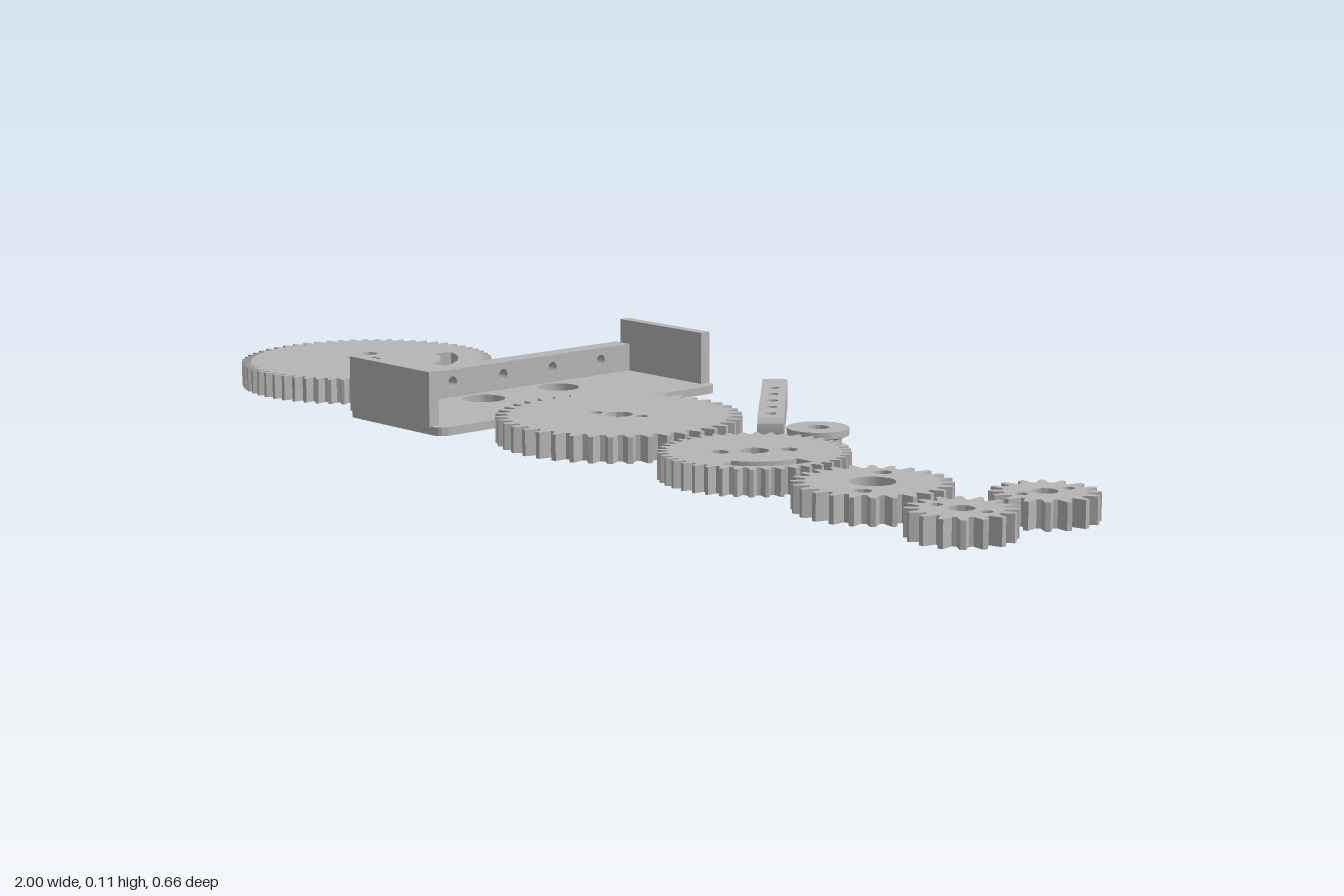
import * as THREE from 'three';
import { toCreasedNormals } from 'three/addons/utils/BufferGeometryUtils.js';

const grey = new THREE.MeshStandardMaterial({ color: 0xb6b6b6 });
grey.name = 'grey metal';

function circle(x, y, r) {
  return new THREE.Path().absarc(x, y, r, 0, Math.PI * 2, true);
}

// Curved slot between two radii and two angles in degrees
function arcSlot(r0, r1, a0, a1) {
  const a = THREE.MathUtils.degToRad(a0), b = THREE.MathUtils.degToRad(a1);
  const p = new THREE.Path();
  p.absarc(0, 0, r1, a, b, false);
  p.absarc(0, 0, r0, b, a, true);
  p.closePath();
  return p;
}

function roundedRect(x0, y0, x1, y1, r) {
  const s = new THREE.Shape();
  s.absarc(x1 - r, y0 + r, r, -Math.PI / 2, 0, false);
  s.absarc(x1 - r, y1 - r, r, 0, Math.PI / 2, false);
  s.absarc(x0 + r, y1 - r, r, Math.PI / 2, Math.PI, false);
  s.absarc(x0 + r, y0 + r, r, Math.PI, Math.PI * 1.5, false);
  s.closePath();
  return s;
}

function rect(x0, y0, x1, y1) {
  return new THREE.Shape([[x0, y0], [x1, y0], [x1, y1], [x0, y1]].map(p => new THREE.Vector2(...p)));
}

function extrude(shape, depth) {
  return new THREE.ExtrudeGeometry(shape, { depth, bevelEnabled: false, curveSegments: 16 });
}

// Extrude upwards; shape y becomes -z
function plate(shape, height) {
  return extrude(shape, height).rotateX(-Math.PI / 2);
}

function add(parent, name, geometry) {
  const mesh = new THREE.Mesh(toCreasedNormals(geometry, 0.5), grey);
  mesh.name = name;
  parent.add(mesh);
  return mesh;
}

// Spur gear with a bore and other cut-outs
function gear(parent, { name, x, z, r, teeth, depth, holes, slot }) {
  const pts = [];
  const step = Math.PI * 2 / teeth;
  for (let i = 0; i < teeth; i++) {
    for (const [f, d] of [[-0.36, 1], [-0.22, 0.45], [-0.12, 0], [0.12, 0], [0.22, 0.45], [0.36, 1]]) {
      const a = (i + f) * step, q = r - d * depth;
      pts.push(new THREE.Vector2(Math.cos(a) * q, Math.sin(a) * q));
    }
  }
  const s = new THREE.Shape(pts);
  for (const h of holes) s.holes.push(circle(...h));
  if (slot) s.holes.push(arcSlot(...slot));
  add(parent, name, plate(s, 0.045)).position.set(x, 0, z);
}

export function createModel() {
  const model = new THREE.Group();
  model.name = 'gearKit';

  // Gears
  const gears = [
    { name: 'largeSlottedGear', x: -0.765, z: 0.089, r: 0.235, teeth: 60, depth: 0.017,
      holes: [[0, 0, 0.024], [-0.047, 0.041, 0.015], [0.048, -0.042, 0.015]], slot: [0.139, 0.172, 22, 75] },
    { name: 'largeGear', x: -0.013, z: 0.115, r: 0.213, teeth: 40, depth: 0.022,
      holes: [[0, 0, 0.024], [0.039, 0.018, 0.011], [-0.039, -0.018, 0.011]] },
    { name: 'mediumSlottedGear', x: 0.379, z: 0.165, r: 0.159, teeth: 40, depth: 0.017,
      holes: [[0, 0, 0.024], [0.031, 0.048, 0.015], [-0.029, -0.05, 0.015]], slot: [0.094, 0.13, -67, 3] },
    { name: 'mediumGear', x: 0.684, z: 0.2, r: 0.128, teeth: 24, depth: 0.022,
      holes: [[0, 0, 0.037], [-0.04, 0.063, 0.015], [0.04, -0.063, 0.015]] },
    { name: 'smallGearBack', x: 0.913, z: 0.056, r: 0.087, teeth: 16, depth: 0.022,
      holes: [[0, 0, 0.021], [0.01, 0.043, 0.01], [-0.01, -0.043, 0.01]] },
    { name: 'smallGearFront', x: 0.913, z: 0.243, r: 0.087, teeth: 16, depth: 0.022,
      holes: [[0, 0, 0.021], [-0.043, -0.009, 0.01], [0.043, 0.009, 0.01]] },
  ];
  for (const g of gears) gear(model, g);

  // Bracket: base plate, drilled side wall and two end flanges
  const bracket = new THREE.Group();
  bracket.name = 'bracket';
  model.add(bracket);
  const base = roundedRect(-0.508, -0.328, -0.24, 0.328, 0.022);
  base.holes.push(circle(-0.419, 0.091, 0.039), circle(-0.419, -0.086, 0.039));
  add(bracket, 'bracketBase', plate(base, 0.015));

  const wall = rect(-0.311, 0.014, 0.311, 0.066);
  for (let i = -2; i <= 2; i++) wall.holes.push(circle(i * 0.119, 0.043, 0.01));
  add(bracket, 'bracketWall', extrude(wall, 0.04).rotateY(Math.PI / 2)).position.x = -0.508;

  for (const side of [-1, 1]) {
    const flange = add(bracket, side > 0 ? 'frontFlange' : 'backFlange', new THREE.BoxGeometry(0.228, 0.098, 0.021));
    flange.position.set(-0.38, 0.062, side * 0.3205);
  }

  // Diagonal bar, split along its length so that it is drilled both ways
  const bar = new THREE.Group();
  bar.name = 'drilledBar';
  bar.position.set(-0.067, 0, -0.31);
  bar.rotation.y = -Math.PI / 4;
  model.add(bar);
  const W = 0.045, H = 0.052, L = 0.39, R = 0.014;

  const tip = new THREE.Shape();
  tip.absarc(R, H - R, R, Math.PI / 2, Math.PI, false);
  tip.absarc(R, R, R, Math.PI, Math.PI * 1.5, false);
  tip.lineTo(0.06, 0);
  tip.lineTo(0.06, H);
  tip.closePath();
  tip.holes.push(circle(0.02, 0.035, 0.01));

  const middle = rect(0.3035, 0, 0.335, H);
  middle.holes.push(circle(0.3155, 0.035, 0.01));

  const tail = new THREE.Shape();
  tail.moveTo(0.372, 0);
  tail.absarc(L - R, R, R, -Math.PI / 2, 0, false);
  tail.absarc(L - R, H - R, R, 0, Math.PI / 2, false);
  tail.lineTo(0.372, H);
  tail.closePath();

  for (const [name, shape] of [['barTip', tip], ['barCrossSection', middle], ['barTail', tail]]) {
    add(bar, name, extrude(shape, W).translate(0, 0, -W / 2));
  }
  for (const [x0, x1, drills] of [[0.06, 0.3035, [0.103, 0.166, 0.229, 0.292]], [0.335, 0.372, [0.355]]]) {
    const s = rect(x0, -W / 2, x1, W / 2);
    for (const d of drills) s.holes.push(circle(d, 0, 0.01));
    add(bar, 'barDrilledSection', plate(s, H));
  }

  // Grooved pulley
  const profile = [[0.019, 0], [0.053, 0], [0.053, 0.012], [0.041, 0.017], [0.041, 0.028],
    [0.053, 0.033], [0.053, 0.045], [0.019, 0.045], [0.019, 0]].map(p => new THREE.Vector2(...p));
  add(model, 'pulley', new THREE.LatheGeometry(profile, 40)).position.set(0.302, 0, -0.056);

  return model;
}
